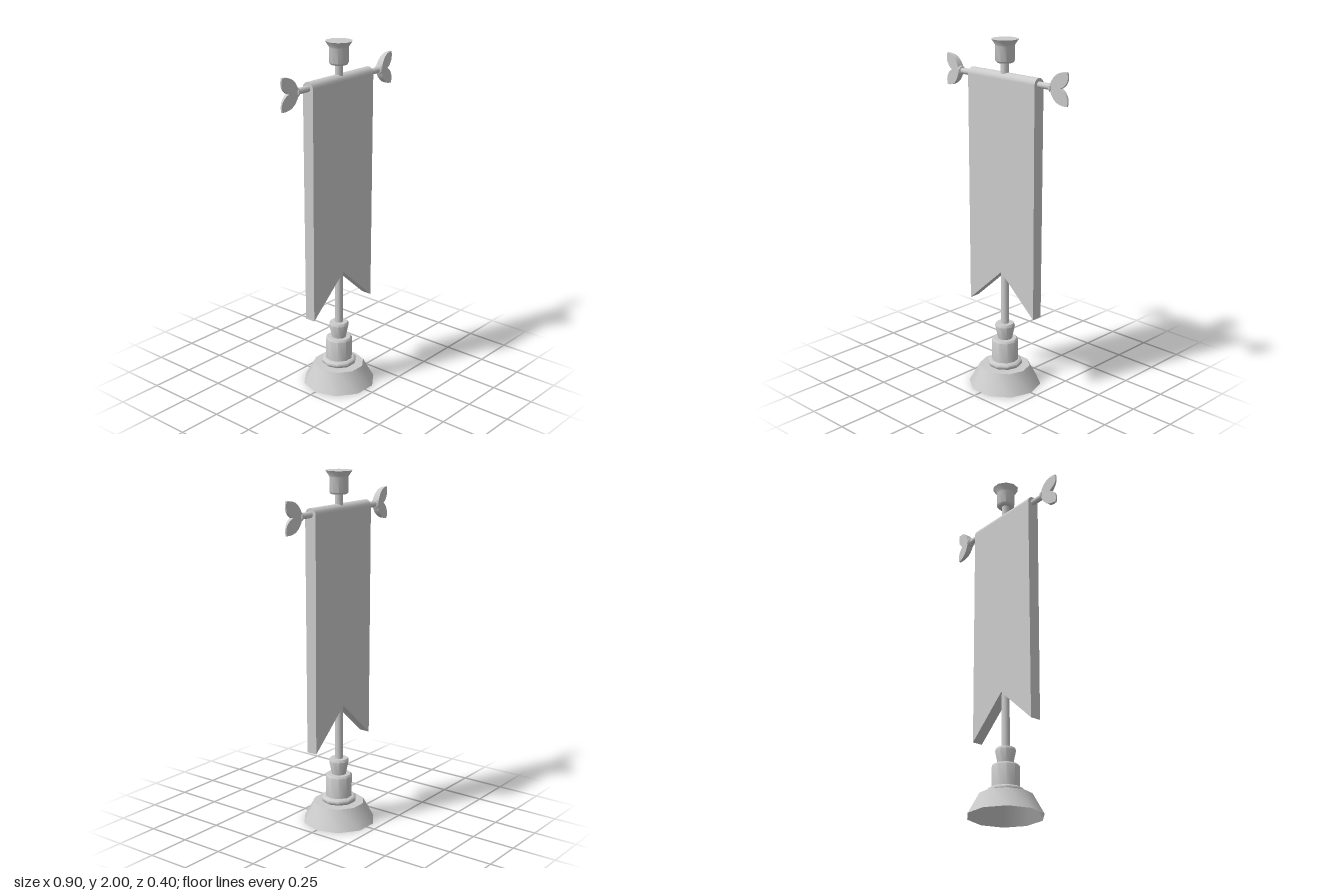
import * as THREE from 'three';
import { toCreasedNormals } from 'three/addons/utils/BufferGeometryUtils.js';

const SIDES = 10;
const BAR_Y = 1.787;
const HALF_W = 0.247;
const material = new THREE.MeshStandardMaterial({ color: 0xcccccc, side: THREE.DoubleSide });

function add(parent, name, geometry) {
  const mesh = new THREE.Mesh(geometry, material);
  mesh.name = name;
  parent.add(mesh);
  return mesh;
}

// Ten-sided turned part from [radius, height] pairs, with sharp profile edges
function turned(profile) {
  const geo = new THREE.LatheGeometry(profile.map(([r, y]) => new THREE.Vector2(r, y)), SIDES);
  geo.rotateY(Math.PI / 2);
  return toCreasedNormals(geo, 0.7);
}

// Rounded collar profile centred on height y
function collar(radius, tube, y, height) {
  const pts = [];
  for (let i = 0; i <= 6; i++) {
    const a = -Math.PI / 2 + (Math.PI * i) / 6;
    pts.push([radius + tube * Math.cos(a), y + (height / 2) * Math.sin(a)]);
  }
  return [[0, y - height / 2], ...pts, [0, y + height / 2]];
}

// Swallow-tailed cloth, slightly thinner toward the hem
function clothGeometry() {
  const shape = new THREE.Shape([
    [-HALF_W, BAR_Y], [-HALF_W, 0.47], [0, 0.69], [HALF_W, 0.47], [HALF_W, BAR_Y],
  ].map(([x, y]) => new THREE.Vector2(x, y)));
  const geo = new THREE.ExtrudeGeometry(shape, { depth: 0.07, bevelEnabled: false });
  geo.translate(0, 0, -0.035);
  const p = geo.attributes.position;
  for (let i = 0; i < p.count; i++) {
    const t = (BAR_Y - p.getY(i)) / (BAR_Y - 0.47);
    p.setZ(i, p.getZ(i) * (1 - 0.12 * t));
  }
  return toCreasedNormals(geo, 0.5);
}

// Two-lobed tail fin pointing along +x, tapering to a thin outer edge
function finGeometry() {
  const s = new THREE.Shape();
  s.moveTo(0.34, 0.014);
  s.bezierCurveTo(0.36, 0.07, 0.39, 0.09, 0.443, 0.089);
  s.bezierCurveTo(0.456, 0.06, 0.447, 0.02, 0.402, 0);
  s.bezierCurveTo(0.447, -0.02, 0.456, -0.06, 0.443, -0.089);
  s.bezierCurveTo(0.39, -0.09, 0.36, -0.07, 0.34, -0.014);
  const geo = new THREE.ExtrudeGeometry(s, { depth: 2, bevelEnabled: false, curveSegments: 7 });
  geo.translate(0, 0, -1);
  const p = geo.attributes.position;
  for (let i = 0; i < p.count; i++) {
    const t = (p.getX(i) - 0.34) / 0.11;
    p.setZ(i, p.getZ(i) * THREE.MathUtils.lerp(0.021, 0.004, t));
  }
  return toCreasedNormals(geo, 0.6);
}

export function createModel() {
  const model = new THREE.Group();
  model.name = 'bannerStand';

  // Hollow foot and the turned column above it
  add(model, 'foot', turned([[0.208, 0], [0.145, 0.115], [0, 0.115]]));
  add(model, 'footRing', turned(collar(0.083, 0.018, 0.133, 0.036)));
  add(model, 'column', turned([[0.077, 0.14], [0.077, 0.27], [0.068, 0.281], [0, 0.281]]));
  add(model, 'poleSocket', turned([[0.041, 0.278], [0.058, 0.36], [0.05, 0.374], [0, 0.374]]));

  // Pole and flared finial
  add(model, 'pole', turned([[0.023, 0.36], [0.023, 1.885]]));
  add(model, 'finial', turned([
    [0, 1.874], [0.045, 1.874], [0.053, 1.884], [0.053, 1.967], [0.075, 2], [0, 2],
  ]));

  // Cloth and its rounded fold over the crossbar
  const banner = new THREE.Group();
  banner.name = 'banner';
  model.add(banner);
  add(banner, 'cloth', clothGeometry());
  const fold = new THREE.CylinderGeometry(0.035, 0.035, HALF_W * 2, 16);
  fold.rotateZ(Math.PI / 2);
  add(banner, 'topFold', fold).position.y = BAR_Y;

  // Crossbar with a collar and fin on each end
  const crossbar = new THREE.Group();
  crossbar.name = 'crossbar';
  crossbar.position.y = BAR_Y;
  model.add(crossbar);
  const bar = new THREE.CylinderGeometry(0.017, 0.017, 0.68, SIDES);
  bar.rotateZ(Math.PI / 2);
  add(crossbar, 'bar', bar);
  for (const side of [1, -1]) {
    const end = new THREE.Group();
    end.name = side > 0 ? 'leftBarEnd' : 'rightBarEnd';
    end.rotation.y = side > 0 ? 0 : Math.PI;
    crossbar.add(end);
    const ring = turned(collar(0.018, 0.01, 0.338, 0.02));
    ring.rotateZ(-Math.PI / 2);
    add(end, 'barCollar', ring);
    add(end, 'tailFin', finGeometry());
  }
  return model;
}
